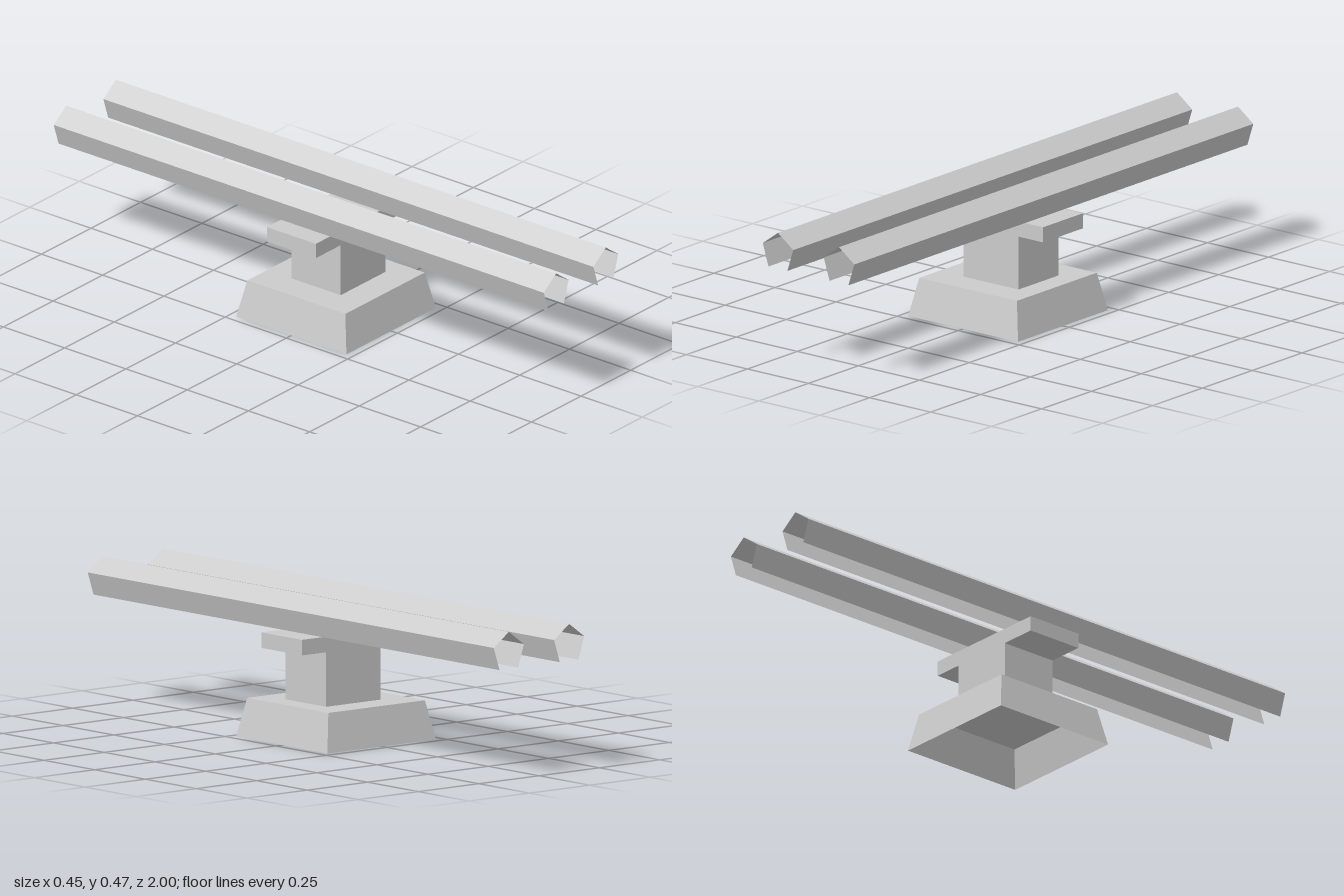
import * as THREE from 'three';

const material = new THREE.MeshStandardMaterial({ color: 0xcccccc, flatShading: true, side: THREE.DoubleSide });

function addPart(parent, name, geometry, x, y, z) {
  const mesh = new THREE.Mesh(geometry, material);
  mesh.name = name;
  mesh.position.set(x, y, z);
  parent.add(mesh);
  return mesh;
}

export function createModel() {
  const model = new THREE.Group();
  model.name = 'railSupport';

  // Hollow tapered footing: four sloped walls and a lid, open underneath
  const footing = new THREE.Group();
  footing.name = 'footing';
  model.add(footing);
  const walls = new THREE.CylinderGeometry(0.2 * Math.SQRT2, 0.225 * Math.SQRT2, 0.125, 4, 1, true);
  walls.rotateY(Math.PI / 4);
  addPart(footing, 'footingWalls', walls, 0, 0.0625, 0);
  const lid = new THREE.PlaneGeometry(0.4, 0.4);
  lid.rotateX(-Math.PI / 2);
  addPart(footing, 'footingTop', lid, 0, 0.125, 0);

  // Post, slightly off centre, and the crossbeam it carries
  addPart(model, 'post', new THREE.BoxGeometry(0.225, 0.175, 0.2), 0.0125, 0.2125, 0);
  addPart(model, 'crossbeam', new THREE.BoxGeometry(0.45, 0.05, 0.2), 0, 0.325, 0);

  // Thin rails: a pentagonal tube without its bottom side, open at both ends
  const radius = 0.0657;
  const rail = new THREE.CylinderGeometry(radius, radius, 2, 4, 1, true, Math.PI / 5, Math.PI * 8 / 5);
  rail.rotateX(Math.PI / 2);
  for (const side of [-1, 1]) {
    addPart(model, side > 0 ? 'leftRail' : 'rightRail', rail, side * 0.125, 0.409, 0);
  }

  return model;
}
